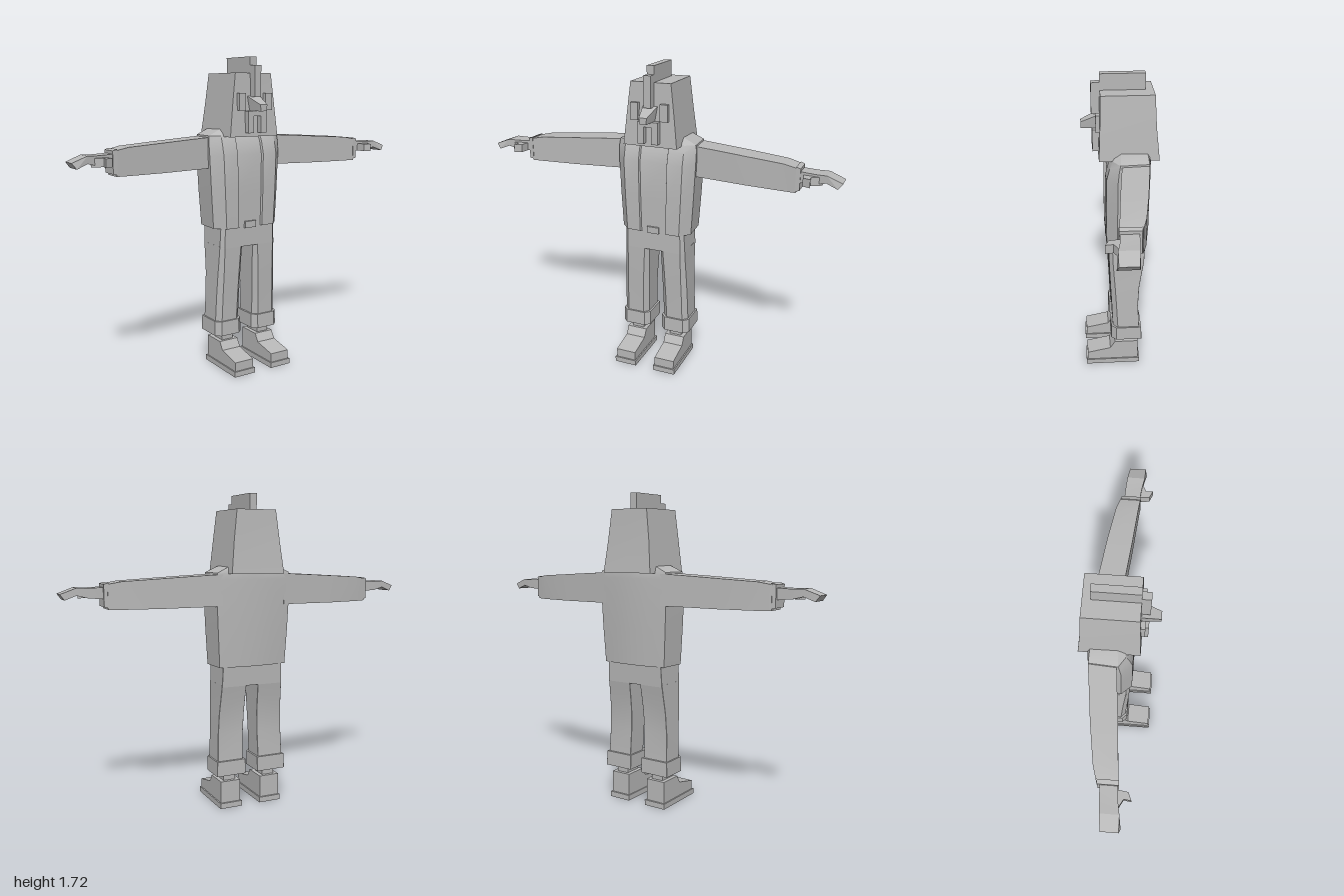
import * as THREE from 'three';
import { toCreasedNormals } from 'three/addons/utils/BufferGeometryUtils.js';

const clay = new THREE.MeshStandardMaterial({ color: 0xb8b8b8 });
clay.name = 'clay grey';

// Closed loft through rings of [x, y, z] points; winding is fixed by the signed volume.
function loft(name, rings, crease = 0.5) {
  const tris = [];
  const n = rings[0].length;
  for (let r = 0; r + 1 < rings.length; r++) {
    for (let i = 0; i < n; i++) {
      const j = (i + 1) % n;
      const a = rings[r][i], b = rings[r][j], c = rings[r + 1][j], d = rings[r + 1][i];
      tris.push([a, b, c], [a, c, d]);
    }
  }
  const cap = (ring, flip) => {
    const mid = [0, 1, 2].map((k) => ring.reduce((s, p) => s + p[k], 0) / n);
    ring.forEach((p, i) => {
      const q = ring[(i + 1) % n];
      tris.push(flip ? [mid, q, p] : [mid, p, q]);
    });
  };
  cap(rings[0], true);
  cap(rings[rings.length - 1], false);
  const v = (p) => new THREE.Vector3(...p);
  const volume = tris.reduce((s, [a, b, c]) => s + v(a).dot(v(b).cross(v(c))), 0);
  if (volume < 0) tris.forEach((t) => t.reverse());
  const geo = new THREE.BufferGeometry();
  geo.setAttribute('position', new THREE.Float32BufferAttribute(tris.flat(2), 3));
  const mesh = new THREE.Mesh(toCreasedNormals(geo, crease), clay);
  mesh.name = name;
  return mesh;
}

// Box given by its limits on each axis
function box(name, [x0, x1], [y0, y1], [z0, z1]) {
  const mesh = new THREE.Mesh(new THREE.BoxGeometry(Math.abs(x1 - x0), y1 - y0, z1 - z0), clay);
  mesh.position.set((x0 + x1) / 2, (y0 + y1) / 2, (z0 + z1) / 2);
  mesh.name = name;
  return mesh;
}

// Horizontal rectangle with front corners (and optionally back ones) cut off
const cutRect = (y, x0, x1, z0, z1, f, b = 0.001) => [
  [x0 + f, y, z1], [x1 - f, y, z1], [x1, y, z1 - f], [x1, y, z0 + b],
  [x1 - b, y, z0], [x0 + b, y, z0], [x0, y, z0 + b], [x0, y, z1 - f],
];
const mirror = (rings, s) => rings.map((r) => r.map(([x, y, z]) => [x * s, y, z]));

function createHead() {
  const head = new THREE.Group();
  head.name = 'head';
  const ring = (y, w, z0, z1) => [[-w, y, z1], [w, y, z1], [w, y, z0], [-w, y, z0]];
  head.add(loft('hood', [
    ring(1.3, 0.152, -0.2, 0.112), ring(1.47, 0.133, -0.183, 0.105), ring(1.635, 0.113, -0.175, 0.1),
  ], 0.3));
  // Ridge over the crown and down the brow
  head.add(box('crest', [-0.02, 0.02], [1.62, 1.72], [-0.134, 0.1]));
  head.add(box('browRidge', [-0.02, 0.02], [1.51, 1.675], [0.08, 0.145]));
  // Tapered nose
  head.add(loft('nose', [
    [[-0.043, 1.52, 0.09], [0.043, 1.52, 0.09], [0.028, 1.435, 0.09], [-0.028, 1.435, 0.09]],
    [[-0.022, 1.47, 0.2], [0.022, 1.47, 0.2], [0.018, 1.436, 0.2], [-0.018, 1.436, 0.2]],
  ], 0.2));
  // Arched moustache and eyes
  head.add(box('moustacheBridge', [-0.057, 0.057], [1.41, 1.437], [0.09, 0.142]));
  for (const s of [1, -1]) {
    head.add(box('moustacheSide', [0.022 * s, 0.057 * s], [1.32, 1.41], [0.09, 0.142]));
    head.add(box('eye', [0.062 * s, 0.105 * s], [1.44, 1.53], [0.09, 0.125]));
  }
  return head;
}

function createTorso() {
  const torso = new THREE.Group();
  torso.name = 'torso';
  // Jacket outline: open front panels, cut corners and a rounded back
  const half = [[0.078, 0.066], [0.083, 0.078], [0.17, 0.076], [0.225, 0.02], [0.215, -0.143], [0.11, -0.159]];
  const ring = (y, sx, front, back) => {
    const pts = half.map(([x, z]) => [x * sx, y, z > 0.03 ? z + front : z < 0 ? z + back : z + front * 0.4]);
    const other = pts.map(([x, , z]) => [-x, y, z]).reverse();
    return [...pts, [0, y, -0.165 + back], ...other];
  };
  torso.add(loft('jacket', [
    ring(0.8, 0.91, 0, 0.012), ring(1.0, 0.96, 0.002, 0.004), ring(1.2, 1, 0, 0),
    ring(1.27, 1, -0.018, 0), ring(1.305, 0.98, -0.035, 0), ring(1.34, 0.64, -0.055, 0.005),
  ]));
  torso.add(box('buckle', [-0.035, 0.035], [0.795, 0.832], [0.05, 0.078]));
  return torso;
}

function createArm(s) {
  const arm = new THREE.Group();
  arm.name = s > 0 ? 'leftArm' : 'rightArm';
  const ring = (x, y0, y1, z0, z1) => [[x, y0, z0], [x, y1, z0], [x, y1, z1], [x, y0, z1]];
  arm.add(loft('sleeve', mirror([
    ring(0.18, 1.13, 1.298, -0.148, -0.005), ring(0.35, 1.128, 1.289, -0.126, 0.012),
    ring(0.5, 1.126, 1.28, -0.108, 0.027), ring(0.7, 1.126, 1.268, -0.077, 0.044),
    ring(0.77, 1.127, 1.255, -0.057, 0.051),
  ], s)));
  arm.add(loft('sleeveCuff', mirror([
    ring(0.765, 1.135, 1.262, -0.056, 0.053), ring(0.788, 1.14, 1.255, -0.05, 0.053),
  ], s)));
  arm.add(loft('hand', mirror([
    ring(0.77, 1.18, 1.24, -0.038, 0.046), ring(0.86, 1.185, 1.236, -0.035, 0.055),
    ring(0.92, 1.2, 1.238, -0.03, 0.066), [
      [0.978, 1.178, -0.024], [1, 1.208, -0.02], [1, 1.208, 0.068], [0.978, 1.178, 0.076]],
  ], s), 0.2));
  // Thumb reaching forward from the palm
  const thumb = (y) => [[0.8, 0.03], [0.81, 0.1], [0.85, 0.117], [0.845, 0.08], [0.9, 0.05]]
    .map(([x, z]) => [x, y, z]);
  arm.add(loft('thumb', mirror([thumb(1.182), thumb(1.225)], s), 0.2));
  return arm;
}

function createLeg(s) {
  const leg = new THREE.Group();
  leg.name = s > 0 ? 'leftLeg' : 'rightLeg';
  leg.add(loft('trouserLeg', mirror([
    cutRect(0.25, 0.048, 0.197, -0.105, 0.045, 0.027), cutRect(0.42, 0.044, 0.192, -0.096, 0.052, 0.026),
    cutRect(0.54, 0.04, 0.187, -0.102, 0.058, 0.025), cutRect(0.64, 0.037, 0.182, -0.117, 0.062, 0.022),
    cutRect(0.7, 0.035, 0.18, -0.127, 0.064, 0.02),
  ], s)));
  leg.add(loft('turnUp', mirror([
    cutRect(0.19, 0.037, 0.207, -0.118, 0.057, 0.028), cutRect(0.272, 0.037, 0.205, -0.116, 0.055, 0.028),
  ], s)));
  leg.add(box('ankle', [0.085 * s, 0.155 * s], [0.14, 0.21], [-0.08, 0.02]));
  // Shoe with a sloping instep on a flat sole
  const profile = [[-0.1, 0.025], [-0.1, 0.152], [0.035, 0.152], [0.062, 0.108], [0.196, 0.08], [0.196, 0.025]];
  const side = (x) => profile.map(([z, y]) => [x, y, z]);
  leg.add(loft('shoe', mirror([side(0.062), side(0.178)], s), 0.2));
  leg.add(box('sole', [0.055 * s, 0.185 * s], [0, 0.03], [-0.11, 0.204]));
  return leg;
}

export function createModel() {
  const model = new THREE.Group();
  model.name = 'blockFigure';
  model.add(createHead(), createTorso());
  model.add(loft('hips', [
    cutRect(0.69, -0.18, 0.18, -0.127, 0.064, 0.02), cutRect(0.82, -0.174, 0.174, -0.132, 0.065, 0.018),
  ]));
  for (const s of [1, -1]) model.add(createArm(s), createLeg(s));
  return model;
}
